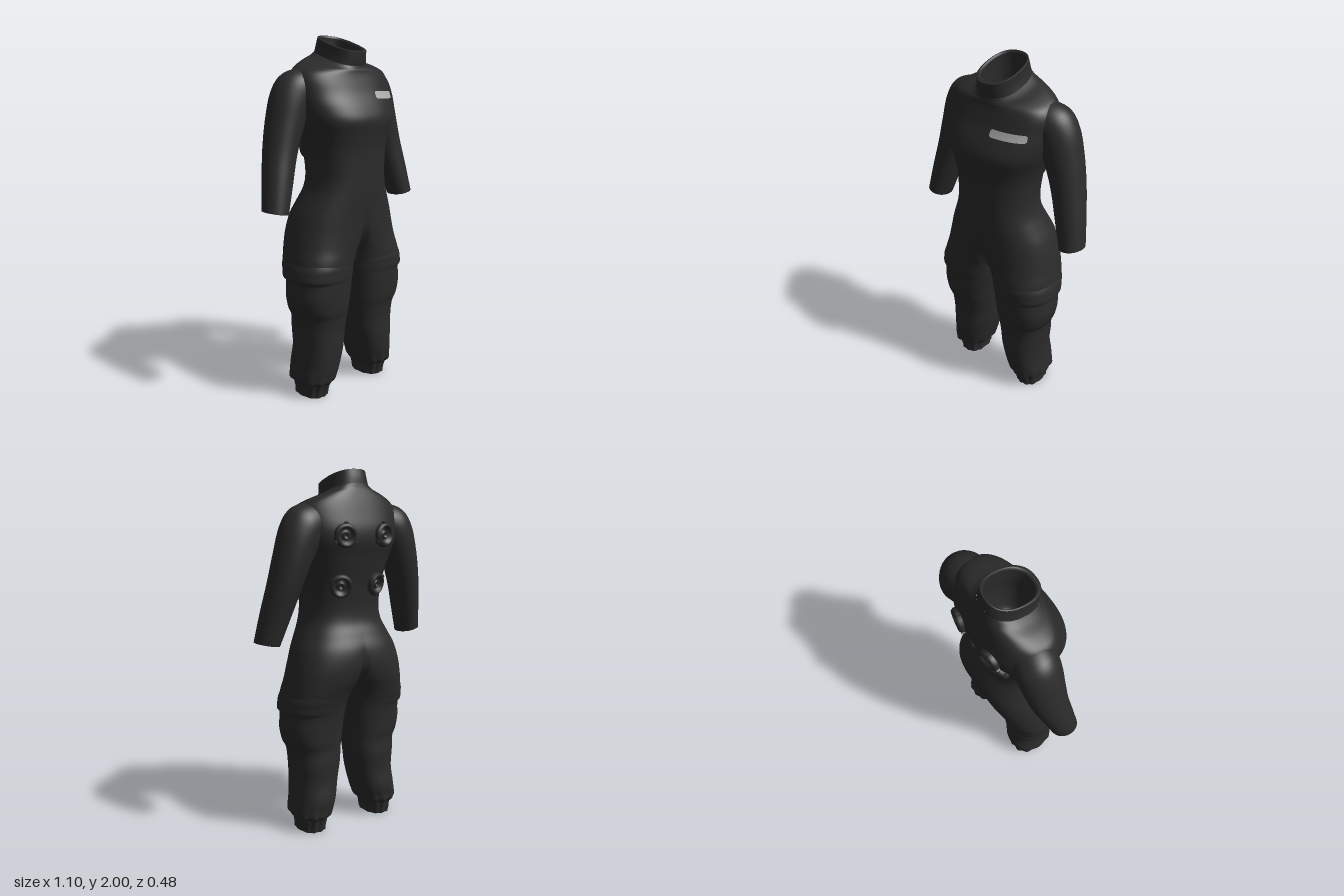
import * as THREE from 'three';

const fabric = new THREE.MeshStandardMaterial({ color: 0x2b2b2b });
fabric.name = 'charcoal fabric';
const patchGrey = new THREE.MeshStandardMaterial({ color: 0xaaaaaa, side: THREE.DoubleSide });
patchGrey.name = 'light grey patch';

// Catmull-Rom smoothing of a short table of cross-section rows
function smooth(rows, steps = 5) {
  const out = [];
  const at = i => rows[Math.min(rows.length - 1, Math.max(0, i))];
  for (let i = 0; i < rows.length - 1; i++) {
    for (let k = 0; k < steps; k++) {
      const t = k / steps;
      out.push(rows[i].map((b, c) => {
        const a = at(i - 1)[c], d = at(i + 1)[c], e = at(i + 2)[c];
        return b + 0.5 * t * (d - a + t * (2 * a - 5 * b + 4 * d - e + t * (3 * (b - d) + e - a)));
      }));
    }
  }
  out.push(rows[rows.length - 1]);
  return out;
}

// Skin a list of rows; point(row, angle) gives each ring vertex
function loft(name, rows, point, seg = 64) {
  const pos = [], idx = [];
  rows.forEach((row, j) => {
    for (let i = 0; i < seg; i++) {
      pos.push(...point(row, i / seg * Math.PI * 2));
      if (j === rows.length - 1) continue;
      const a = j * seg + i, b = j * seg + (i + 1) % seg;
      idx.push(a, a + seg, b, b, a + seg, b + seg);
    }
  });
  const g = new THREE.BufferGeometry();
  g.setAttribute('position', new THREE.Float32BufferAttribute(pos, 3));
  g.setIndex(idx);
  g.computeVertexNormals();
  const mesh = new THREE.Mesh(g, fabric);
  mesh.name = name;
  return mesh;
}

// Rounded depth profile across the body; pinch splits it into two thighs
const N = 2.4;
const bulge = v => Math.pow(Math.max(0, 1 - Math.pow(Math.abs(v), N)), 1 / N);
const depth = (u, pinch) => bulge(u) * (1 - pinch) + bulge(2 * Math.abs(u) - 1) * pinch;

// Torso rows: y, half width, front z, back z, pinch, forward slope
const torsoRows = smooth([
  [0.77, 0.372, 0.195, -0.175, 1, 0],
  [0.82, 0.365, 0.198, -0.195, 0.75, 0],
  [0.88, 0.352, 0.2, -0.218, 0.38, 0],
  [0.96, 0.335, 0.203, -0.23, 0.13, 0],
  [1.05, 0.308, 0.206, -0.22, 0.03, 0],
  [1.13, 0.27, 0.21, -0.188, 0, 0],
  [1.2, 0.239, 0.213, -0.16, 0, 0],
  [1.28, 0.226, 0.215, -0.155, 0, 0],
  [1.4, 0.235, 0.218, -0.17, 0, 0],
  [1.48, 0.255, 0.228, -0.186, 0, 0],
  [1.56, 0.285, 0.24, -0.203, 0, 0],
  [1.63, 0.305, 0.217, -0.22, 0, 0],
  [1.7, 0.315, 0.18, -0.218, 0, 0],
  [1.77, 0.313, 0.155, -0.197, 0, 0.05],
  [1.82, 0.285, 0.142, -0.178, 0, 0.14],
  [1.85, 0.225, 0.138, -0.165, 0, 0.22],
  [1.868, 0.16, 0.135, -0.157, 0, 0.28],
  [1.885, 0.122, 0.133, -0.152, 0, 0.32],
]);
const collarOuter = smooth([
  [1.885, 0.122, 0.133, -0.152, 0, 0.32],
  [1.92, 0.114, 0.138, -0.146, 0, 0.33],
  [1.962, 0.11, 0.142, -0.135, 0, 0.33],
]);
const collarLip = smooth([
  [1.962, 0.11, 0.142, -0.135, 0, 0.33],
  [1.964, 0.102, 0.126, -0.129, 0, 0.33],
  [1.955, 0.096, 0.115, -0.123, 0, 0.33],
]);
const collarInner = smooth([
  [1.955, 0.096, 0.115, -0.123, 0, 0.33],
  [1.88, 0.098, 0.1, -0.125, 0, 0.3],
  [1.75, 0.1, 0.09, -0.12, 0, 0.1],
  [1.62, 0.07, 0.06, -0.08, 0, 0],
  [1.6, 0, 0, 0, 0, 0],
]);

function torsoPoint([y, w, zf, zb, pinch, slope], t) {
  const u = Math.cos(t), s = Math.sin(t), zc = (zf + zb) / 2;
  const z = zc + Math.sign(s) * (zf - zb) / 2 * depth(u, pinch);
  return [w * u, y - slope * z, z];
}

// Surface z of the torso at x, y (side +1 front, -1 back)
function torsoZ(x, y, side) {
  const j = torsoRows.findIndex(r => r[0] > y), a = torsoRows[j - 1], b = torsoRows[j];
  const f = (y - a[0]) / (b[0] - a[0]);
  const [, w, zf, zb, p] = a.map((v, i) => v + (b[i] - v) * f);
  return (zf + zb) / 2 + side * (zf - zb) / 2 * depth(x / w, p);
}

// Leg rows: y, inner x, outer x, front z, back z, gather
const ankleCap = [[0.012, 0.23, 0.232, -0.005, -0.007, 0], [0.012, 0.157, 0.305, 0.093, -0.107, 0.03]];
const legCuff = smooth([
  [0.012, 0.157, 0.305, 0.093, -0.107, 0.03],
  [0.045, 0.156, 0.303, 0.098, -0.112, 0.035],
  [0.085, 0.15, 0.308, 0.108, -0.12, 0.05],
]);
const legCloth = smooth([
  [0.085, 0.15, 0.308, 0.108, -0.12, 0.05],
  [0.105, 0.122, 0.336, 0.13, -0.137, 0.035],
  [0.14, 0.105, 0.338, 0.138, -0.14, 0.015],
  [0.2, 0.09, 0.328, 0.15, -0.146, 0],
  [0.3, 0.068, 0.322, 0.158, -0.134, 0],
  [0.4, 0.052, 0.328, 0.158, -0.138, 0],
  [0.48, 0.042, 0.335, 0.167, -0.134, 0],
  [0.53, 0.036, 0.358, 0.18, -0.14, 0],
  [0.6, 0.027, 0.372, 0.187, -0.145, 0],
  [0.66, 0.019, 0.368, 0.19, -0.15, 0],
  [0.695, 0.014, 0.368, 0.191, -0.155, 0],
  [0.712, 0.011, 0.384, 0.195, -0.16, 0],
  [0.745, 0.006, 0.382, 0.196, -0.168, 0],
  [0.785, 0.001, 0.374, 0.195, -0.18, 0],
  [0.85, 0.012, 0.345, 0.175, -0.19, 0],
]);

function legPoint(side) {
  return ([y, xi, xo, zf, zb, gather], t) => {
    const u = Math.cos(t), s = Math.sin(t), k = 1 + gather * Math.cos(11 * t);
    return [side * ((xi + xo) / 2 + (xo - xi) / 2 * u * k), y,
      (zf + zb) / 2 + side * Math.sign(s) * (zf - zb) / 2 * bulge(u) * k];
  };
}

// Arm rows: centre x, y, z, radius across, radius in z, angle from vertical
const sleeve = smooth([
  [0.17, 1.74, -0.04, 0.1, 0.1, 1.35],
  [0.265, 1.722, -0.055, 0.116, 0.112, 0.9],
  [0.312, 1.66, -0.06, 0.117, 0.113, 0.52],
  [0.36, 1.54, -0.058, 0.101, 0.106, 0.36],
  [0.402, 1.4, -0.046, 0.09, 0.096, 0.29],
  [0.442, 1.25, -0.02, 0.081, 0.085, 0.24],
  [0.48, 1.1, 0.006, 0.069, 0.075, 0.2],
]);
const sleeveHem = [
  [0.48, 1.1, 0.006, 0.069, 0.075, 0.2],
  [0.481, 1.097, 0.006, 0.062, 0.068, 0.2],
  [0.481, 1.097, 0.006, 0.062, 0.068, 0.2],
  [0.473, 1.135, 0, 0.058, 0.064, 0.2],
  [0.473, 1.135, 0, 0, 0, 0.2],
];

function armPoint(side) {
  return ([cx, cy, cz, r, rz, ang], t) => {
    const u = r * Math.cos(t);
    return [side * (cx + u * Math.cos(ang)), cy + u * Math.sin(ang), cz - side * rz * Math.sin(t)];
  };
}

// Round socket with a raised rim, centre hub and small lugs
function backPort(x, y) {
  const port = new THREE.Group();
  port.name = 'backPort';
  const profile = [[0.064, -0.04], [0.064, 0.008], [0.056, 0.02], [0.044, 0.02], [0.037, 0.004],
    [0.022, 0.001], [0.02, 0.012], [0.012, 0.012], [0.009, 0.004], [0, 0.004]];
  const rim = new THREE.Mesh(new THREE.LatheGeometry(profile.map(p => new THREE.Vector2(...p)), 28), fabric);
  rim.name = 'portRim';
  rim.rotation.x = Math.PI / 2;
  port.add(rim);
  for (let i = 0; i < 3; i++) {
    const a = Math.PI / 2 + i * Math.PI * 2 / 3;
    const lug = new THREE.Mesh(new THREE.BoxGeometry(0.018, 0.014, 0.02), fabric);
    lug.name = 'portLug';
    lug.position.set(0.062 * Math.cos(a), 0.062 * Math.sin(a), 0.004);
    lug.rotation.z = a;
    port.add(lug);
  }
  // Face along the torso surface normal
  const e = 0.03, z = torsoZ(x, y, -1);
  const dx = (torsoZ(x + e, y, -1) - torsoZ(x - e, y, -1)) / (2 * e);
  const dy = (torsoZ(x, y + e, -1) - torsoZ(x, y - e, -1)) / (2 * e);
  port.position.set(x, y, z);
  port.quaternion.setFromUnitVectors(new THREE.Vector3(0, 0, 1), new THREE.Vector3(dx, dy, -1).normalize());
  return port;
}

// Thin chest strip that follows the torso
function chestPatch() {
  const g = new THREE.PlaneGeometry(0.186, 0.038, 20, 4), p = g.attributes.position;
  for (let i = 0; i < p.count; i++) {
    const u = p.getX(i) / 0.093;
    const x = 0.167 + p.getX(i), y = 1.69 - 0.003 * u + p.getY(i) * (Math.abs(u) > 0.95 ? 0.65 : 1);
    p.setXYZ(i, x, y, torsoZ(x, y, 1) + 0.006);
  }
  g.computeVertexNormals();
  const mesh = new THREE.Mesh(g, patchGrey);
  mesh.name = 'chestPatch';
  return mesh;
}

export function createModel() {
  const suit = new THREE.Group();
  suit.name = 'jumpsuit';
  suit.add(loft('torso', torsoRows, torsoPoint, 96));
  suit.add(loft('collar', [...collarOuter, ...collarLip, ...collarInner], torsoPoint));
  for (const side of [1, -1]) {
    const label = side > 0 ? 'left' : 'right';
    suit.add(loft(label + 'Leg', [...ankleCap, ...legCuff, ...legCloth], legPoint(side), 88));
    suit.add(loft(label + 'Sleeve', [...sleeve, ...sleeveHem], armPoint(side), 40));
    suit.add(backPort(side * 0.125, 1.665), backPort(side * 0.115, 1.4));
  }
  suit.add(chestPatch());
  return suit;
}
